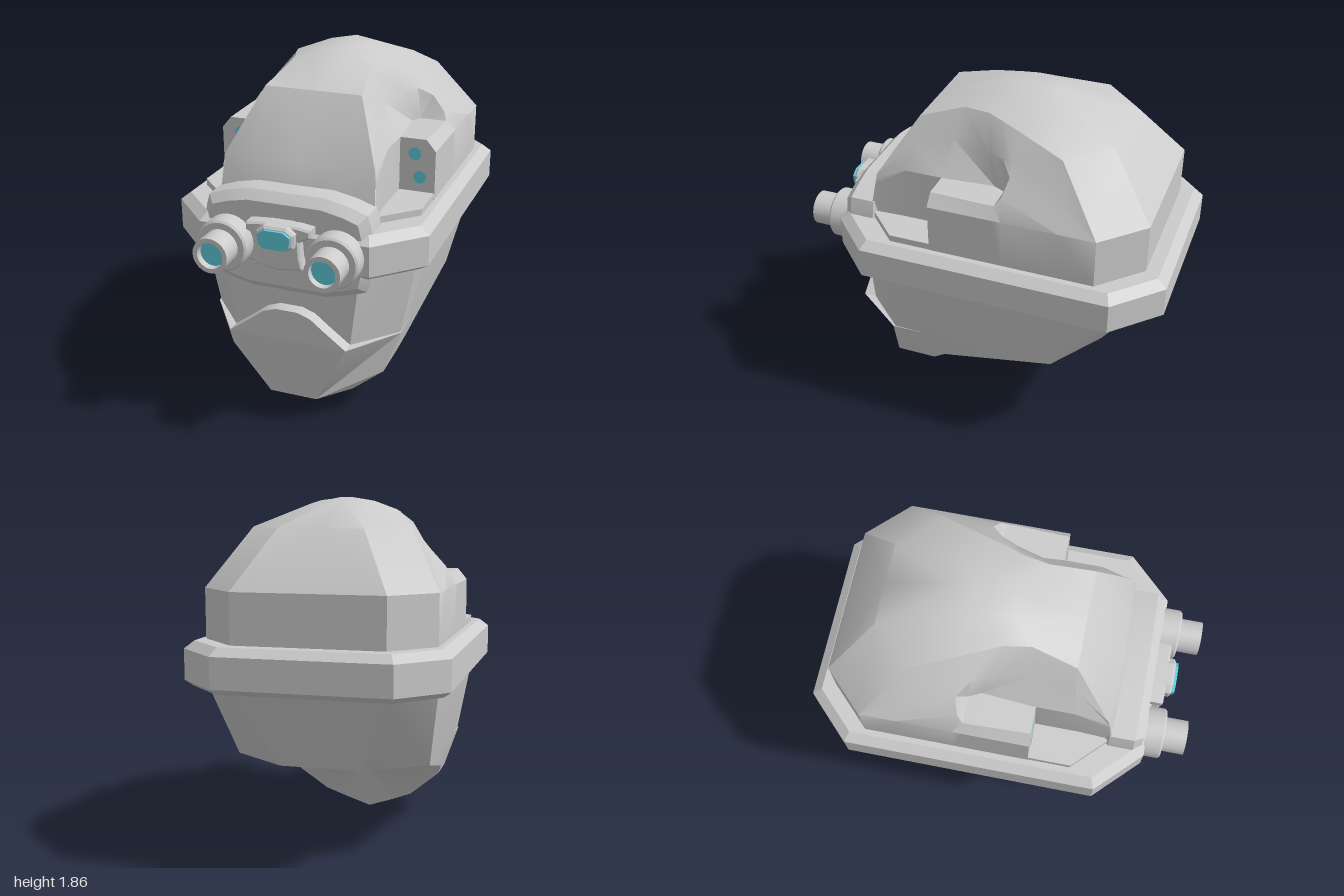
import * as THREE from 'three';
import { mergeGeometries, toCreasedNormals } from 'three/addons/utils/BufferGeometryUtils.js';

const grey = new THREE.MeshStandardMaterial({ color: 0xcccccc, side: THREE.DoubleSide });
const cyan = new THREE.MeshStandardMaterial({ color: 0x5fd0e0, side: THREE.DoubleSide });

export function createModel() {
  const group = new THREE.Group();
  const add = (name, geometry, material = grey, x = 0, y = 0, z = 0) => {
    const mesh = new THREE.Mesh(geometry, material);
    mesh.name = name;
    mesh.position.set(x, y, z);
    group.add(mesh);
    return mesh;
  };

  // Skin a grid of points for the +x half and mirror it to the other half
  const skin = (name, rows, crease = 0.55) => {
    const out = [];
    const tri = (a, b, c) => {
      const [p, q, r] = [a, b, c].map(v => new THREE.Vector3(...v));
      if (q.sub(p).cross(r.sub(p)).length() < 1e-7) return;
      out.push(...a, ...b, ...c);
      for (const v of [a, c, b]) out.push(-v[0], v[1], v[2]);
    };
    for (let i = 0; i < rows.length - 1; i++) {
      for (let j = 0; j < rows[i].length - 1; j++) {
        const a = rows[i][j], b = rows[i][j + 1], c = rows[i + 1][j + 1], d = rows[i + 1][j];
        tri(a, b, c);
        tri(a, c, d);
      }
    }
    const g = new THREE.BufferGeometry();
    g.setAttribute('position', new THREE.Float32BufferAttribute(out, 3));
    return add(name, toCreasedNormals(g, crease));
  };

  // Half outline of a rectangle with chamfered corners
  const octagon = (y, w, zf, zb, c, inset) => {
    w -= inset; zf -= inset; zb += inset; c -= 0.586 * inset;
    return [[0, y, zf], [w - c, y, zf], [w, y, zf - c], [w, y, zb + c], [w - c, y, zb], [0, y, zb]];
  };

  // Extruded outline with a single bevel, mirrored from its +x half
  const plate = (half, depth, bevel) => {
    const left = half.slice().reverse().map(([x, y]) => [-x, y]);
    const shape = new THREE.Shape([...half, ...left].map(p => new THREE.Vector2(...p)));
    const g = new THREE.ExtrudeGeometry(shape, {
      depth, bevelEnabled: bevel > 0, bevelSize: bevel, bevelThickness: bevel, bevelOffset: -bevel, bevelSegments: 1,
    });
    return toCreasedNormals(g, 0.4);
  };

  // Dome crown, bounded by the edge where the side scoops begin
  const E = [[.40, 1.41, .57], [.26, 1.72, .37], [.22, 1.79, .14], [.245, 1.795, 0],
    [.28, 1.785, -.08], [.325, 1.76, -.2], [.42, 1.71, -.44], [.6, 1.41, -.67]];
  skin('crown', [
    [[0, 1.15, .64], [.2, 1.15, .64], [.42, 1.15, .62]],
    [[0, 1.41, .59], [.2, 1.41, .585], E[0]],
    [[0, 1.72, .37], [.14, 1.72, .37], E[1]],
    [[0, 1.86, 0], [.11, 1.84, .05], E[2]],
    [[0, 1.86, -.1], [.12, 1.845, -.1], E[3]],
    [[0, 1.86, -.18], [.13, 1.845, -.17], E[4]],
    [[0, 1.86, -.28], [.15, 1.83, -.28], E[5]],
    [[0, 1.71, -.64], [.22, 1.71, -.64], E[6]],
    [[0, 1.41, -.88], [.39, 1.41, -.88], E[7]],
    [[0, 1.15, -.88], [.39, 1.15, -.88], [.6, 1.15, -.67]],
  ]);

  // Side scoops, pockets and lamp pods, from front to back
  const A0 = [.41, 1.35, .58], A1 = [.41, 1.47, .4], A2 = [.41, 1.47, .2], W2 = [.3, 1.64, .17];
  skin('sidePods', [
    [E[0], [.405, 1.38, .575], A0, A0, A0, [.42, 1.15, .62]],
    [E[1], [.33, 1.6, .38], A1, A1, A1, [.41, 1.15, .4]],
    [E[2], W2, A2, A2, A2, [.41, 1.15, .2]],
    [E[2], W2, A2, [.55, 1.47, .2], [.6, 1.41, .2], [.6, 1.15, .2]],
    [E[3], [.36, 1.64, -.04], [.39, 1.47, -.08], [.56, 1.47, -.08], [.6, 1.41, -.08], [.6, 1.15, -.08]],
    [E[4], [.40, 1.64, -.13], [.42, 1.47, -.14], [.56, 1.47, -.14], [.6, 1.41, -.14], [.6, 1.15, -.14]],
    [E[5], [.42, 1.65, -.19], [.47, 1.59, -.19], [.54, 1.51, -.17], [.6, 1.41, -.19], [.6, 1.15, -.19]],
    [E[6], [.48, 1.61, -.45], [.52, 1.54, -.46], [.56, 1.475, -.47], [.6, 1.41, -.48], [.6, 1.15, -.48]],
    [E[7], E[7], E[7], E[7], E[7], [.6, 1.15, -.67]],
  ]);

  // Brim band with bevelled edges, and the low shelf on top of it
  skin('brim', [[.92, .2], [.92, .04], [.95, 0], [1.11, 0], [1.15, .05], [1.15, .2]]
    .map(([y, d]) => octagon(y, .68, .79, -1, .23, d)), 0.3);
  skin('shelf', [[1.12, 0], [1.185, 0], [1.185, .3]]
    .map(([y, d]) => octagon(y, .598, .62, -.87, .2, d)), 0.3);

  // Face and jaw shell, rows from chin to brim
  const back = [[.52, .5, -.44], [.22, .5, -.64], [0, .5, -.64]];
  const mid = [.47, .33, .2];
  skin('jaw', [
    [[0, 0, .47], [.14, .055, .48], [.26, .1, .48], [.44, .26, .5], [.44, .26, .28], mid, ...back],
    [[0, .13, .69], [.13, .13, .69], [.13, .13, .69], [.44, .26, .5], [.44, .26, .28], mid, ...back],
    [[0, .5, .76], [.32, .5, .76], [.32, .5, .76], [.525, .5, .48], [.52, .5, .28], [.52, .5, .2], ...back],
    [[0, .5, .69], [.32, .5, .69], [.32, .5, .69], [.52, .5, .47], [.52, .5, .28], [.52, .5, .2], ...back],
    [[0, .92, .69], [.37, .92, .69], [.37, .92, .69], [.6, .92, .48], [.6, .92, .28], [.6, .92, .2],
      [.6, .92, -.67], [.39, .92, -.88], [0, .92, -.88]],
  ], 0.3);

  // Underside, rows from back to chin
  skin('underside', [
    [[0, .5, -.64], [.22, .5, -.64], [.37, .5, -.54], [.52, .5, -.44]],
    [[0, .33, .2], [.16, .33, .2], [.31, .33, .2], mid],
    [[0, 0, .39], [.14, .05, .38], [.26, .1, .36], [.44, .26, .28]],
    [[0, 0, .47], [.14, .055, .48], [.26, .1, .48], [.44, .26, .5]],
  ], 0.8);

  // Raised upper part of the mouth plate
  add('mouthPlate', plate([[.32, .5], [.2, .59], [.13, .645], [.06, .67]], .08, 0), grey, 0, 0, .68);

  // Goggle plate across the face
  add('gogglePlate', plate([[.2, .77], [.32, .8], [.42, .835], [.435, .88], [.45, .96],
    [.45, 1.12], [.435, 1.19], [.42, 1.24], [.32, 1.275], [.2, 1.3]], .13, .045), grey, 0, 0, .595);
  const bridge = [[.13, .955], [.115, 1.02], [.11, 1.1], [.17, 1.13], [.17, 1.17], [.1, 1.18]];
  add('bridge', plate([[0, .935], ...bridge], .06, .01), grey, 0, 0, .775);
  add('centreHousing', plate([[.06, 1.06], [.095, 1.08], [.1, 1.15], [.06, 1.18]], .1, .012), grey, 0, 0, .77);
  add('centreLens', plate([[.055, 1.07], [.08, 1.09], [.085, 1.14], [.05, 1.165]], .02, 0), cyan, 0, 0, .877);

  for (const [side, s] of [['left', 1], ['right', -1]]) {
    // Stepped eyepiece barrel with a hollow rim
    const profile = [[.135, .78], [.135, .87], [.125, .88], [.092, .88], [.092, 1], [.068, 1], [.066, .95]];
    const barrel = new THREE.LatheGeometry(profile.map(p => new THREE.Vector2(...p)), 32);
    barrel.rotateX(Math.PI / 2);
    add(side + 'Eyepiece', toCreasedNormals(barrel, 0.5), grey, s * .29, 1.035, 0);
    add(side + 'EyeLens', new THREE.CircleGeometry(.067, 32), cyan, s * .29, 1.035, .965);

    // Pair of lamps on the pod front
    const lamps = [[.49, 1.39], [.52, 1.265]].map(([x, y]) =>
      new THREE.CircleGeometry(.034, 20).translate(s * x, y, .204));
    add(side + 'PodLamps', mergeGeometries(lamps), cyan);
  }
  return group;
}
